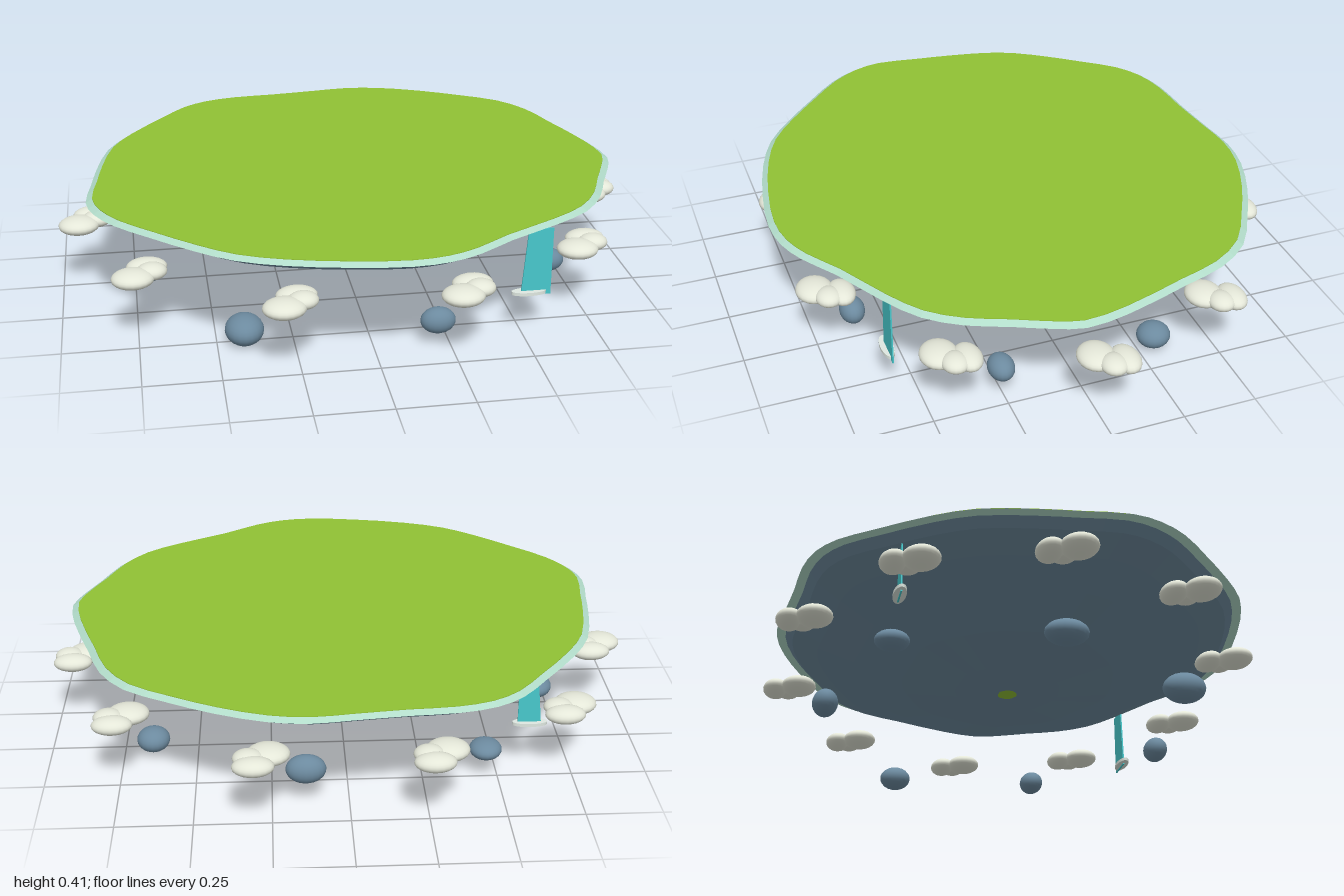
import * as THREE from 'three';

const mat = (name, color, extra = {}) => new THREE.MeshStandardMaterial({ name, color, ...extra });

export function createModel() {
  const model = new THREE.Group();
  model.name = 'floatingIsland';
  const grass = mat('grass green', 0x90c134);
  const rimPale = mat('pale rim', 0xb2dcca, { flatShading: true });
  const slate = mat('slate underside', 0x6c899c, { flatShading: true });
  const stone = mat('blue stone', 0x6c8a9f);
  const cloud = mat('cloud white', 0xebeedf);
  const water = mat('teal water', 0x48c8cc);
  const foam = mat('foam', 0xe2ebe4);

  const add = (geometry, material, name, parent = model) => {
    const mesh = new THREE.Mesh(geometry, material);
    mesh.name = name;
    parent.add(mesh);
    return mesh;
  };

  // Wavy island outline as (x, -z), counter-clockwise from above
  const outline = [
    [0.937, -0.07], [0.915, 0.08], [0.845, 0.30], [0.795, 0.45], [0.71, 0.57], [0.57, 0.66], [0.42, 0.74],
    [0.26, 0.80], [0.13, 0.817], [0, 0.803], [-0.18, 0.783], [-0.33, 0.772], [-0.45, 0.74], [-0.54, 0.68],
    [-0.63, 0.57], [-0.75, 0.41], [-0.82, 0.28], [-0.86, 0.10], [-0.88, -0.05], [-0.897, -0.20],
    [-0.872, -0.30], [-0.81, -0.40], [-0.70, -0.51], [-0.57, -0.63], [-0.45, -0.72], [-0.30, -0.78],
    [-0.10, -0.825], [0.08, -0.845], [0.20, -0.83], [0.30, -0.787], [0.42, -0.705], [0.60, -0.605],
    [0.72, -0.52], [0.80, -0.41], [0.855, -0.28], [0.905, -0.17],
  ].map(([x, y]) => new THREE.Vector3(x, y, 0));
  const N = 72;
  const pts = new THREE.CatmullRomCurve3(outline, true).getPoints(N).slice(0, N)
    .map((p) => new THREE.Vector2(p.x, p.y));
  const scaled = (f) => pts.map((p) => p.clone().multiplyScalar(f));

  // Skin through copies of the outline, each given as [scale, height], from the top down
  const loft = (levels) => {
    const pos = [], idx = [];
    levels.forEach(([f, y], k) => scaled(f).forEach((p, i) => {
      pos.push(p.x, y, -p.y);
      if (k === 0) return;
      const j = (i + 1) % N, up = (k - 1) * N, lo = k * N;
      idx.push(lo + i, lo + j, up + j, lo + i, up + j, up + i);
    }));
    const geometry = new THREE.BufferGeometry();
    geometry.setAttribute('position', new THREE.Float32BufferAttribute(pos, 3));
    geometry.setIndex(idx);
    geometry.computeVertexNormals();
    return geometry;
  };

  // Grass plate, with a pale lip sloping down around it
  const top = new THREE.ExtrudeGeometry(new THREE.Shape(scaled(0.976)), { depth: 0.01, bevelEnabled: false });
  top.rotateX(-Math.PI / 2).translate(0, 0.398, 0);
  add(top, grass, 'grassTop');
  add(loft([[0.976, 0.406], [1, 0.394], [0.962, 0.39]]), rimPale, 'rimLip');

  // Rocky bowl, open at the very bottom
  add(loft([[0.964, 0.392], [0.93, 0.36], [0.82, 0.318], [0.66, 0.267],
    [0.45, 0.212], [0.22, 0.175], [0.04, 0.157]]), slate, 'rockyUnderside');

  const ball = new THREE.SphereGeometry(1, 20, 14);
  const blob = (material, name, p, r, parent) => {
    const mesh = add(ball, material, name, parent);
    mesh.position.set(...p);
    mesh.scale.set(...r);
  };

  // Ten clouds on an oval ring, three puffs each
  for (let i = 0; i < 10; i++) {
    const a = (i / 10) * Math.PI * 2;
    const g = new THREE.Group();
    g.name = 'cloud';
    g.position.set(0.91 * Math.cos(a), 0.237, 0.77 * Math.sin(a));
    blob(cloud, 'cloudPuff', [-0.022, -0.002, 0.014], [0.07, 0.03, 0.062], g);
    blob(cloud, 'cloudPuff', [0.025, 0, -0.065], [0.067, 0.029, 0.046], g);
    blob(cloud, 'cloudPuff', [0.04, 0.004, -0.02], [0.05, 0.027, 0.045], g);
    model.add(g);
  }

  // Loose stones hovering below: position, radii
  [
    [[0.21, 0.085, 0.615], [0.058, 0.044, 0.043]],
    [[-0.41, 0.05, 0.515], [0.064, 0.05, 0.074]],
    [[0.68, 0.097, 0.25], [0.057, 0.041, 0.044]],
    [[-0.71, 0.056, 0.03], [0.062, 0.038, 0.072]],
    [[0.65, 0.058, -0.30], [0.056, 0.042, 0.057]],
    [[-0.46, 0.094, -0.48], [0.054, 0.032, 0.058]],
    [[0.14, 0.124, -0.63], [0.066, 0.048, 0.046]],
  ].forEach(([p, r]) => blob(stone, 'floatingStone', p, r));

  // Waterfalls: a thin sheet narrowing upward, with a foam disc at its foot
  const fall = (x0, x1, y0, y1, z, foamX) => {
    const sheet = new THREE.Shape([[x0, y0], [x1, y0], [x1, y1], [x0 + 0.018, y1]]
      .map(([x, y]) => new THREE.Vector2(x, y)));
    const geometry = new THREE.ExtrudeGeometry(sheet, { depth: 0.005, bevelEnabled: false });
    add(geometry, water, 'waterfall').position.z = z - 0.0025;
    const disc = add(new THREE.CylinderGeometry(1, 1, 1, 24), foam, 'waterfallFoam');
    disc.scale.set(0.058, 0.011, 0.021);
    disc.position.set(foamX, y0 + 0.01, z);
  };
  fall(0.492, 0.592, 0.135, 0.37, 0.58, 0.519);
  fall(-0.64, -0.562, 0.178, 0.36, -0.48, -0.602);

  return model;
}
